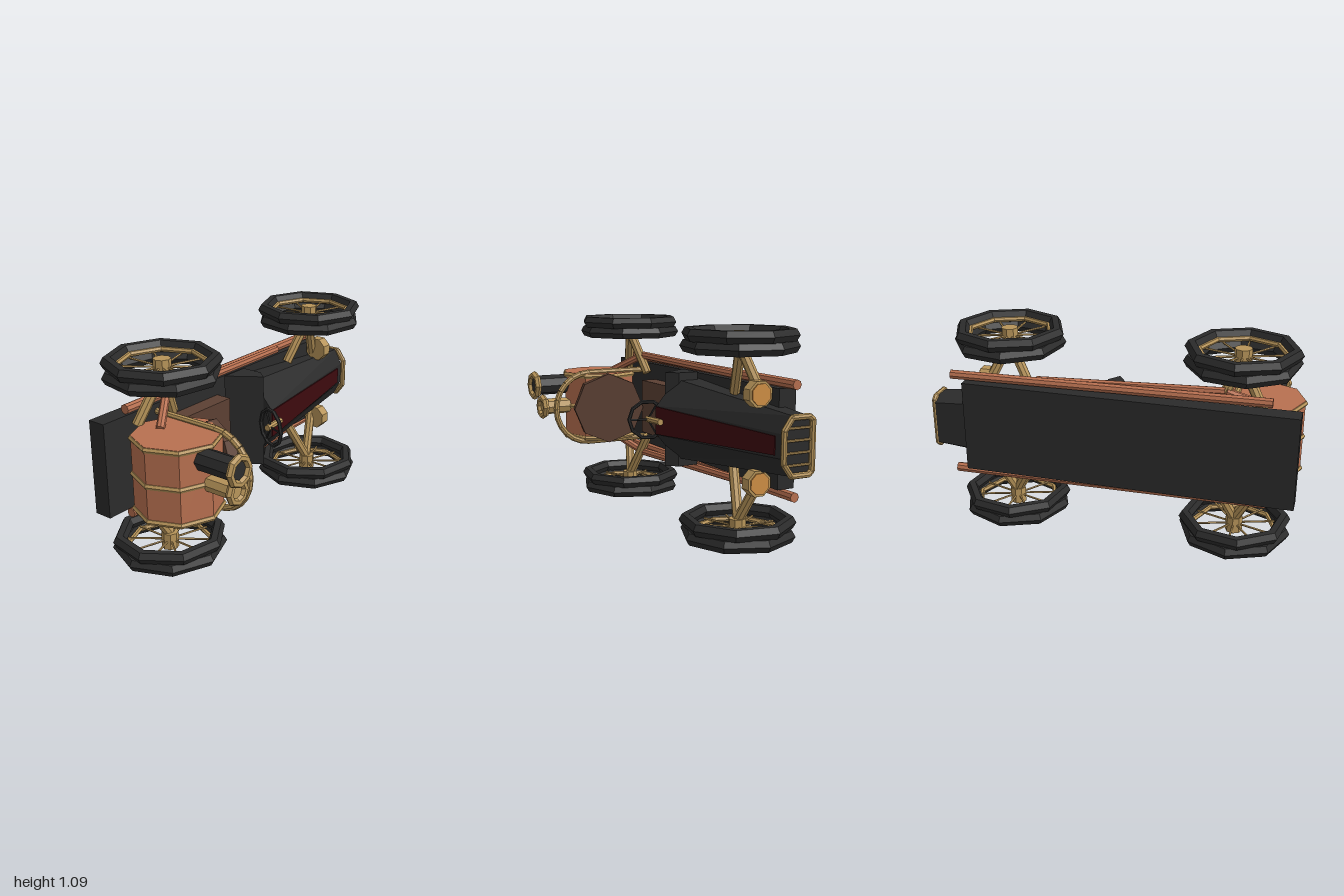
import * as THREE from 'three';

const mat = (name, color, side = THREE.FrontSide) => {
  const m = new THREE.MeshStandardMaterial({ color, side, flatShading: true });
  m.name = name;
  return m;
};

export function createModel() {
  const black = mat('black iron', 0x2b2b2b);
  const brass = mat('brass', 0xb8955a);
  const copper = mat('copper', 0xb87050);
  const leather = mat('brown leather', 0x5c4033);
  const maroon = mat('dark maroon', 0x3d0a0e);
  const amber = mat('amber lamp', 0xd08f45);

  // The car lies on its side: nose +x, roof +z, axles along y
  const model = new THREE.Group();
  model.name = 'steamRoadster';
  const car = new THREE.Group();
  car.name = 'car';
  car.position.y = 0.55;
  model.add(car);

  const V = (x, y, z) => new THREE.Vector3(x, y, z);
  const add = (name, geo, material, x = 0, y = 0, z = 0, parent = car) => {
    const m = new THREE.Mesh(geo, material);
    m.name = name;
    m.position.set(x, y, z);
    parent.add(m);
    return m;
  };
  // Straight rod between two points
  const rod = (name, a, b, r, material, parent = car, sides = 8) => {
    const d = b.clone().sub(a);
    const m = add(name, new THREE.CylinderGeometry(r, r, d.length(), sides), material, 0, 0, 0, parent);
    m.position.copy(a).add(b).multiplyScalar(0.5);
    m.quaternion.setFromUnitVectors(V(0, 1, 0), d.normalize());
    return m;
  };
  // Torus whose axis is y
  const ringY = (R, r, sides, segs) => new THREE.TorusGeometry(R, r, sides, segs).rotateX(Math.PI / 2);

  // Chassis and seat
  add('chassis', new THREE.BoxGeometry(1.8, 0.51, 0.1), black, -0.1, 0, -0.295);
  add('seatCushion', new THREE.BoxGeometry(0.36, 0.32, 0.1), leather, -0.335, 0, -0.205);
  const back = add('seatBack', new THREE.CylinderGeometry(0.21, 0.21, 0.06, 8).rotateZ(-Math.PI / 2),
    leather, -0.55, 0, 0.055);
  back.rotation.y = -0.25;

  // Hood lofted between a rear and a front section, points are [y, z]
  const section = (x, top, topZ, side, sideZ, low) => [
    [top, topZ], [side, sideZ], [side, low + 0.05], [side * 0.8, low],
    [-side * 0.8, low], [-side, low + 0.05], [-side, sideZ], [-top, topZ],
  ].map(([y, z]) => V(x, y, z));
  const rear = section(0, 0.08, 0.015, 0.225, -0.11, -0.335);
  const nose = section(0.97, 0.06, -0.16, 0.148, -0.205, -0.335);
  const pos = [];
  const tri = (...p) => p.forEach(v => pos.push(v.x, v.y, v.z));
  for (let i = 0; i < 8; i++) {
    const j = (i + 1) % 8;
    tri(rear[i], rear[j], nose[j]);
    tri(rear[i], nose[j], nose[i]);
    if (i > 0 && i < 7) {
      tri(rear[0], rear[i + 1], rear[i]);
      tri(nose[0], nose[i], nose[i + 1]);
    }
  }
  // Sections run clockwise seen from the nose, so flip every triangle
  for (let i = 0; i < pos.length; i += 9)
    for (let k = 0; k < 3; k++) [pos[i + 3 + k], pos[i + 6 + k]] = [pos[i + 6 + k], pos[i + 3 + k]];
  const hoodGeo = new THREE.BufferGeometry();
  hoodGeo.setAttribute('position', new THREE.Float32BufferAttribute(pos, 3));
  hoodGeo.computeVertexNormals();
  const hood = add('hood', hoodGeo, black);
  hood.material = mat('black iron sheet', 0x2b2b2b, THREE.DoubleSide);

  // Tapered stripe laid on the sloping hood top
  const stripeShape = new THREE.Shape([[0, -0.078], [0.925, -0.047], [0.925, 0.047], [0, 0.078]]
    .map(p => new THREE.Vector2(...p)));
  const stripe = add('hoodStripe', new THREE.ExtrudeGeometry(stripeShape, { depth: 0.007, bevelEnabled: false }),
    maroon, 0, 0, 0.015);
  stripe.rotation.y = Math.atan2(0.175, 0.97);

  // Wedge-shaped dashboard across the body
  const dashShape = new THREE.Shape([[-0.12, 0.22], [0.05, 0.22], [0.05, 0.1], [0.0, 0.04]]
    .map(p => new THREE.Vector2(...p)));
  add('dashboard', new THREE.ExtrudeGeometry(dashShape, { depth: 0.53, bevelEnabled: false })
    .translate(0, 0, -0.265).rotateX(-Math.PI / 2), black);

  // Steering wheel and column
  const steer = new THREE.Group();
  steer.name = 'steeringWheel';
  steer.position.set(-0.045, 0, 0.045);
  steer.rotation.y = -0.37;
  car.add(steer);
  add('steeringRim', new THREE.TorusGeometry(0.105, 0.011, 6, 10).rotateY(Math.PI / 2), black, 0, 0, 0, steer);
  rod('steeringColumn', V(-0.025, 0, 0), V(0.1, 0, -0.06), 0.018, brass, steer);
  for (let i = 0; i < 3; i++) {
    const a = i * Math.PI * 2 / 3;
    rod('steeringSpoke', V(0, 0, 0), V(0, Math.sin(a) * 0.1, Math.cos(a) * 0.1), 0.006, black, steer, 5);
  }

  // Radiator frame and bars
  const frame = [[-0.08, -0.15], [-0.142, -0.195], [-0.142, -0.295], [-0.125, -0.315],
    [0.125, -0.315], [0.142, -0.295], [0.142, -0.195], [0.08, -0.15]];
  frame.forEach(([y, z], i) => {
    const [y2, z2] = frame[(i + 1) % frame.length];
    rod('radiatorFrame', V(0.98, y, z), V(0.98, y2, z2), 0.016, brass);
    add('radiatorJoint', new THREE.IcosahedronGeometry(0.017, 0), brass, 0.98, y, z);
  });
  for (const y of [-0.09, -0.03, 0.03, 0.09])
    rod('radiatorBar', V(0.98, y, -0.16), V(0.98, y, -0.315), 0.007, brass, car, 6);

  // Boiler drum with bands
  const turn = Math.PI / 8;
  add('boiler', new THREE.CylinderGeometry(0.225, 0.225, 0.41, 8).rotateY(turn * 2), copper, -0.77, 0, 0.02);
  for (const y of [-0.19, 0, 0.19])
    add('boilerBand', ringY(0.222, 0.015, 6, 8), brass, -0.77, y, 0.02);

  // Chimney and steam whistle, hollow at the mouth
  const stack = (name, x, y, r, z0, z1, material) => {
    rod(name, V(x, y, z0), V(x, y, z1 - 0.02), r, material);
    add(name + 'Flange', new THREE.TorusGeometry(r + 0.008, 0.02, 6, 8), brass, x, y, z1 - 0.02);
  };
  stack('chimney', -0.8, 0.13, 0.06, 0.1, 0.455, black);
  stack('steamVent', -0.77, 0, 0.048, 0.1, 0.415, brass);

  // Hoop behind the seat
  const hoop = [V(-0.63, -0.212, -0.25)];
  for (let i = 0; i <= 12; i++) {
    const a = i * Math.PI / 12;
    hoop.push(V(-0.63, -Math.cos(a) * 0.212, 0.15 + Math.sin(a) * 0.212));
  }
  hoop.push(V(-0.63, 0.212, -0.25));
  for (let i = 0; i + 1 < hoop.length; i++) rod('hoop', hoop[i], hoop[i + 1], 0.018, brass);

  // Spoked wheel, axis along y
  const wheel = (name, x, y, s) => {
    const g = new THREE.Group();
    g.name = name;
    g.position.set(x, y, -0.15);
    car.add(g);
    add('tyreOuter', ringY(0.268, 0.036, 6, 8), black, 0, s * 0.03, 0, g);
    add('tyreInner', ringY(0.268, 0.036, 6, 8), black, 0, -s * 0.03, 0, g).rotation.y = 0.2;
    add('rim', ringY(0.228, 0.014, 6, 8), brass, 0, s * 0.02, 0, g);
    add('hub', new THREE.CylinderGeometry(0.046, 0.046, 0.09, 8), brass, 0, 0, 0, g);
    for (let i = 0; i < 10; i++) {
      const a = i * Math.PI / 5;
      rod('spoke', V(0, 0, 0), V(Math.sin(a) * 0.225, 0, Math.cos(a) * 0.225), 0.006, brass, g, 5);
    }
  };

  // Parts mirrored on both sides
  for (const s of [1, -1]) {
    const side = s > 0 ? 'Left' : 'Right';
    for (const [end, x] of [['front', 0.585], ['rear', -0.675]]) {
      wheel(end + side + 'Wheel', x, s * 0.483, s);
      for (const dx of [-0.135, 0.125])
        rod(end + side + 'AxleStrut', V(x, s * 0.45, -0.155), V(x + dx, s * 0.2, -0.21), 0.028, brass);
    }
    // Exhaust pipes and the elbow from the boiler
    rod('longPipe' + side, V(-0.85, s * 0.287, -0.25), V(0.88, s * 0.28, -0.293), 0.026, copper);
    rod('steamPipe' + side, V(-0.6, s * 0.305, -0.205), V(0.4, s * 0.282, -0.257), 0.023, copper);
    rod('steamElbow' + side, V(-0.78, s * 0.2, -0.08), V(-0.6, s * 0.305, -0.205), 0.023, copper);
    // Headlamp
    add('headlamp' + side, new THREE.CylinderGeometry(0.071, 0.071, 0.06, 8)
      .rotateY(turn).rotateZ(-Math.PI / 2), brass, 0.72, s * 0.225, -0.172);
    add('lampLens' + side, new THREE.CylinderGeometry(0.058, 0.058, 0.008, 8)
      .rotateY(turn).rotateZ(-Math.PI / 2), amber, 0.753, s * 0.225, -0.172);
  }
  return model;
}
